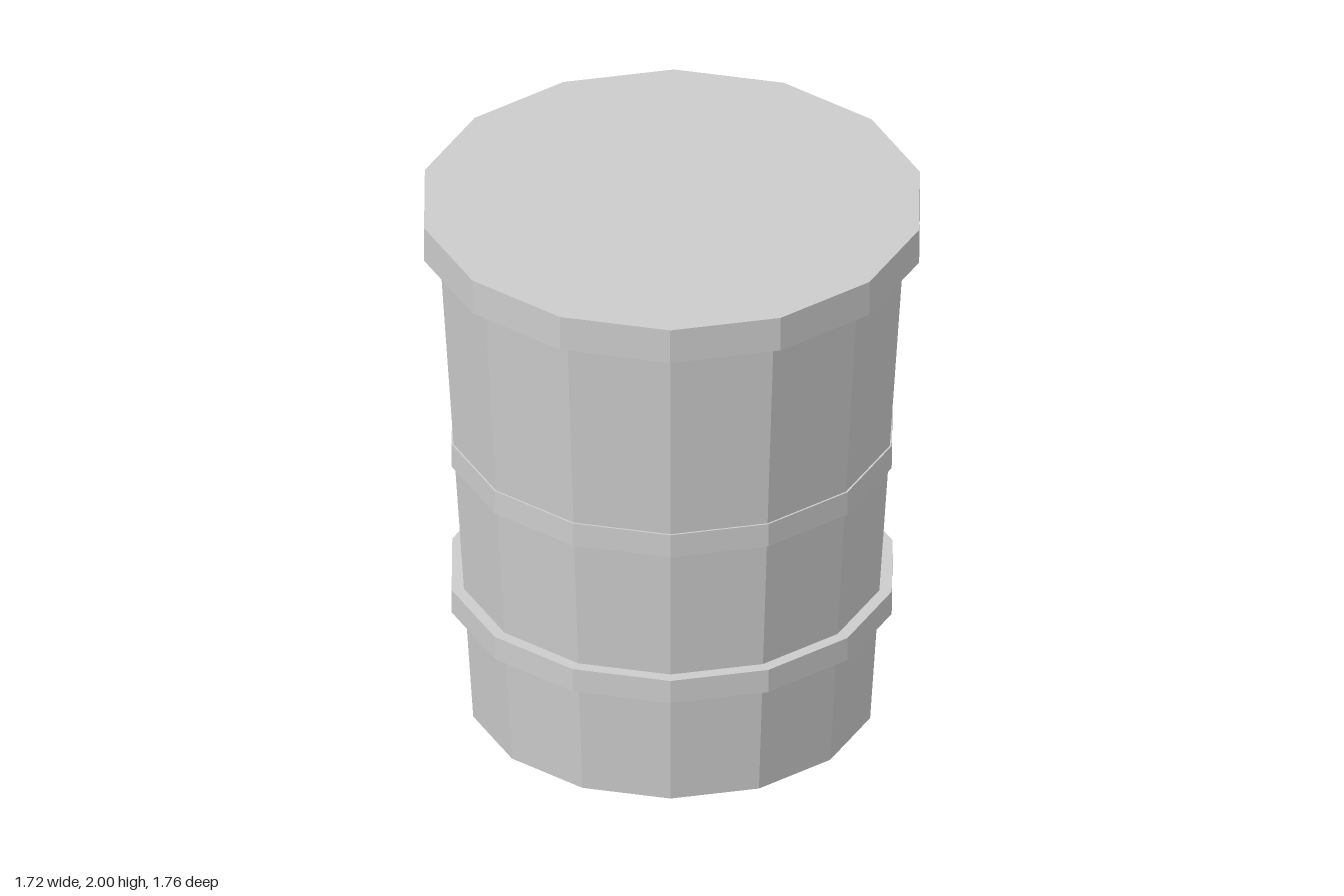
import * as THREE from 'three';

const SIDES = 14;

export function createModel() {
  const group = new THREE.Group();
  const material = new THREE.MeshStandardMaterial({ color: 0xcccccc, flatShading: true });

  // Fourteen-sided drum section between two heights
  function addSection(name, bottom, top, bottomRadius, topRadius = bottomRadius) {
    const geometry = new THREE.CylinderGeometry(topRadius, bottomRadius, top - bottom, SIDES);
    const mesh = new THREE.Mesh(geometry, material);
    mesh.name = name;
    mesh.position.y = (bottom + top) / 2;
    group.add(mesh);
  }

  // Tapered body
  addSection('body', 0, 1.87, 0.707, 0.825);

  // Two equal hoops around the body
  addSection('lowerHoop', 0.432, 0.522, 0.784);
  addSection('upperHoop', 1.022, 1.112, 0.784);

  // Overhanging lid
  addSection('lid', 1.868, 2, 0.882);

  return group;
}
